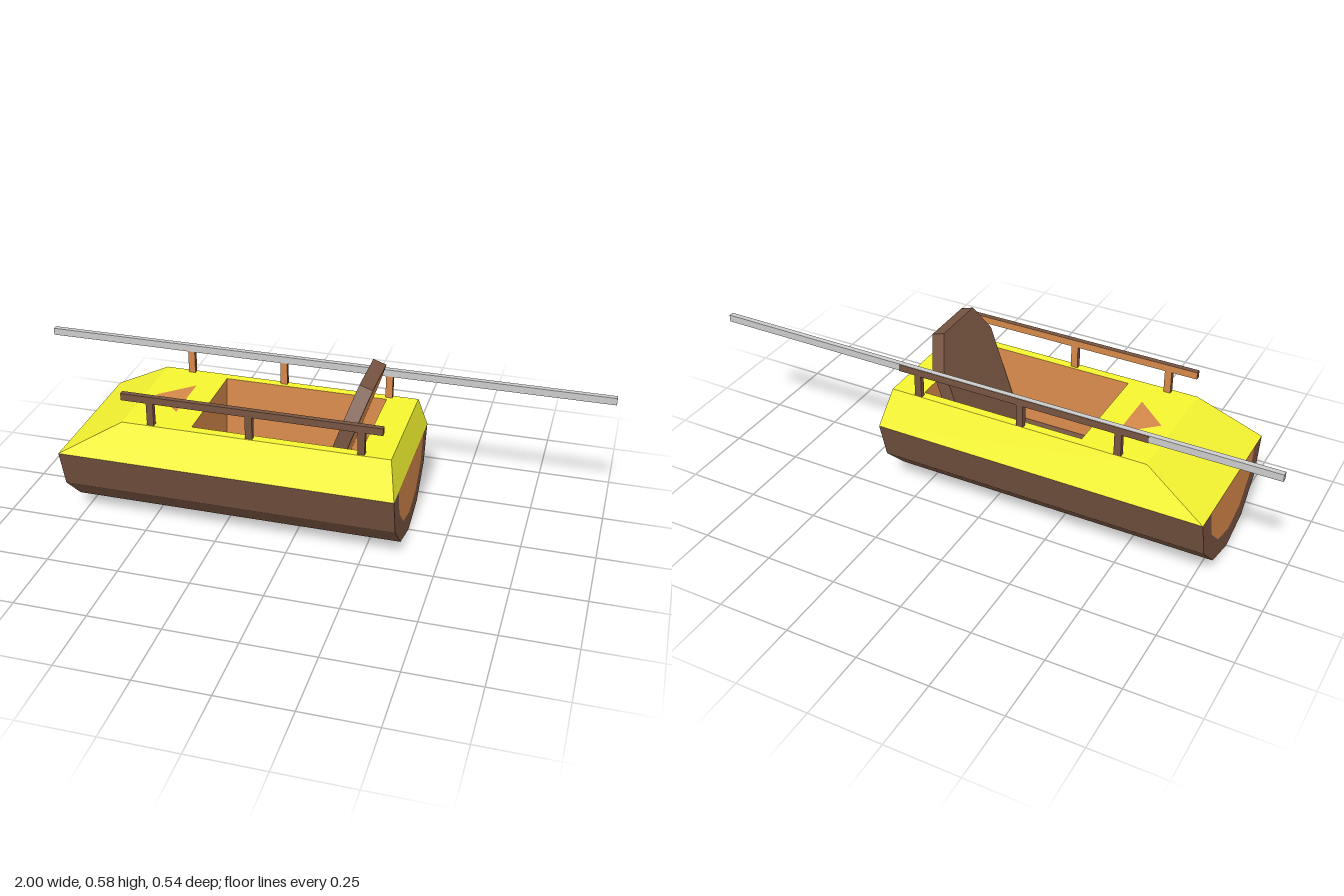
import * as THREE from 'three';

const mat = (color, side = THREE.FrontSide) =>
  new THREE.MeshStandardMaterial({ color, side, flatShading: true });

const YELLOW = 0xf5f530, BROWN = 0x775441, ORANGE = 0xd6884a;
const X0 = -0.79, X1 = 0.365, WATERLINE = 0.272, DECK = 0.395;

function add(parent, name, geometry, material) {
  const mesh = new THREE.Mesh(geometry, material);
  mesh.name = name;
  parent.add(mesh);
  return mesh;
}

// Four sloping walls joining two horizontal rectangles { x0, x1, z, y }
function walls(lo, hi, inward = false) {
  const ring = r => [[r.x0, r.y, r.z], [r.x1, r.y, r.z], [r.x1, r.y, -r.z], [r.x0, r.y, -r.z]];
  const a = ring(lo), b = ring(hi), pos = [];
  for (let i = 0; i < 4; i++) {
    const j = (i + 1) % 4;
    const tris = [a[i], a[j], b[j], a[i], b[j], b[i]];
    if (inward) tris.reverse();
    pos.push(...tris.flat());
  }
  const g = new THREE.BufferGeometry();
  g.setAttribute('position', new THREE.Float32BufferAttribute(pos, 3));
  g.computeVertexNormals();
  return g;
}

// Horizontal face from a list of [x, z] corners
const outline = pts => pts.map(([x, z]) => new THREE.Vector2(x, -z));
const rect = r => outline([[r.x0, r.z], [r.x1, r.z], [r.x1, -r.z], [r.x0, -r.z]]);
function flat(points, y, hole) {
  const shape = new THREE.Shape(points);
  if (hole) shape.holes.push(new THREE.Path(hole));
  return new THREE.ShapeGeometry(shape).rotateX(-Math.PI / 2).translate(0, y, 0);
}

export function createModel() {
  const model = new THREE.Group();
  model.name = 'boat';
  const yellow = mat(YELLOW), brown = mat(BROWN), orange = mat(ORANGE), grey = mat(0xcccccc);

  // Half-round hull with two-tone ends
  const hull = new THREE.Group();
  hull.name = 'hull';
  hull.position.y = WATERLINE;
  model.add(hull);
  const shell = new THREE.CylinderGeometry(0.27, 0.27, X1 - X0, 6, 1, true, Math.PI, Math.PI);
  add(hull, 'hullShell', shell.rotateZ(Math.PI / 2).translate((X0 + X1) / 2, 0, 0), brown);
  for (const [x, turn] of [[X1, 1], [X0, -1]]) {
    const place = g => g.rotateY(turn * Math.PI / 2).translate(x, 0, 0);
    add(hull, 'hullEndRim', place(new THREE.RingGeometry(0.2, 0.27, 6, 1, Math.PI, Math.PI)), brown);
    add(hull, 'hullEndPanel', place(new THREE.CircleGeometry(0.2, 6, Math.PI, Math.PI)), orange);
  }

  // Sloped deck with a cockpit opening
  const deckLow = { x0: X0, x1: X1, z: 0.27, y: WATERLINE };
  const deckTop = { x0: -0.575, x1: 0.34, z: 0.213, y: DECK };
  const opening = { x0: -0.34, x1: 0.235, z: 0.182, y: DECK };
  const floor = { x0: -0.34, x1: 0.235, z: 0.16, y: 0.15 };
  add(model, 'deckSides', walls(deckLow, deckTop), yellow);
  add(model, 'deckTop', flat(rect(deckTop), DECK, rect(opening)), yellow);
  add(model, 'cockpitWalls', walls(floor, opening, true), orange);
  add(model, 'cockpitFloor', flat(rect(floor), floor.y), brown);
  add(model, 'deckArrow', flat(outline([[-0.535, 0], [-0.425, 0.1], [-0.425, -0.1]]), DECK + 0.0015), orange);

  // Reclined seat back with clipped top corners
  const seat = new THREE.Group();
  seat.name = 'seatBack';
  seat.position.set(0.055, floor.y, 0);
  seat.rotation.z = -0.33;
  model.add(seat);
  const back = new THREE.Shape([[-0.16, 0], [0.16, 0], [0.16, 0.355], [0.097, 0.46], [-0.097, 0.46], [-0.16, 0.355]]
    .map(p => new THREE.Vector2(...p)));
  add(seat, 'seatPanel', new THREE.ExtrudeGeometry(back, { depth: 0.047, bevelEnabled: false }).rotateY(Math.PI / 2), brown);
  add(seat, 'seatRear', new THREE.ShapeGeometry(back).rotateY(Math.PI / 2).translate(0.048, 0, 0), orange);

  // Handrails: brown, with the inboard face orange
  for (const side of [1, -1]) {
    const rail = new THREE.Group();
    rail.name = side > 0 ? 'leftRail' : 'rightRail';
    rail.position.z = side > 0 ? 0.2 : -0.205;
    model.add(rail);
    const faces = [brown, brown, brown, brown, side > 0 ? brown : orange, side > 0 ? orange : brown];
    add(rail, 'railBar', new THREE.BoxGeometry(0.885, 0.025, 0.018).translate(-0.1325, 0.4875, 0), faces);
    for (const x of [-0.475, -0.135, 0.24])
      add(rail, 'railPost', new THREE.BoxGeometry(0.024, 0.08, 0.018).translate(x, 0.435, 0), faces);
  }

  // Long pole lying along one rail, just proud of its top and inner face
  add(model, 'pole', new THREE.BoxGeometry(2, 0.025, 0.018).translate(0, 0.4885, -0.2035), grey);

  return model;
}
